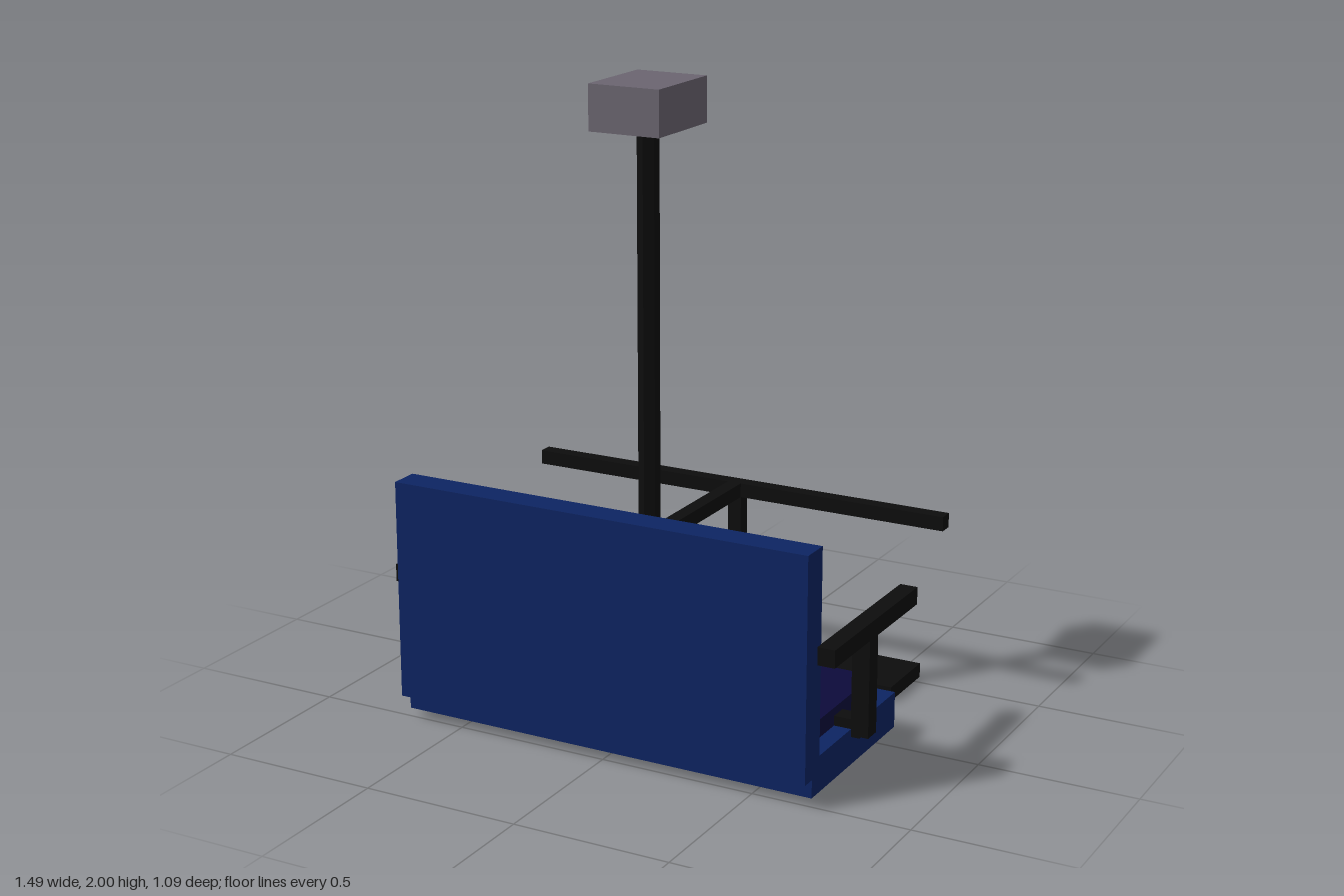
import * as THREE from 'three';

export function createModel() {
  const group = new THREE.Group();
  const material = (name, color) => {
    const m = new THREE.MeshStandardMaterial({ color });
    m.name = name;
    return m;
  };
  const blue = material('blue shell', 0x0d2462);
  const navy = material('navy cushion', 0x0d0b3b);
  const black = material('black metal', 0x0d0d0d);
  const grey = material('grey mount', 0x6b6570);

  // Box given by its extents along each axis
  const box = (name, mat, [x0, x1], [y0, y1], [z0, z1]) => {
    const mesh = new THREE.Mesh(new THREE.BoxGeometry(x1 - x0, y1 - y0, z1 - z0), mat);
    mesh.position.set((x0 + x1) / 2, (y0 + y1) / 2, (z0 + z1) / 2);
    mesh.name = name;
    group.add(mesh);
  };

  // Seat and backrest with inset cushions
  box('seatBase', blue, [-0.69, 0.69], [0.026, 0.14], [-0.082, 0.498]);
  box('backrest', blue, [-0.69, 0.69], [0.083, 0.776], [0.45, 0.543]);
  box('seatCushion', navy, [-0.635, 0.635], [0.13, 0.197], [-0.046, 0.452]);
  box('backCushion', navy, [-0.635, 0.635], [0.15, 0.72], [0.412, 0.46]);

  // Armrests on posts joined by a bar through the seat
  for (const [side, s] of [['left', 1], ['right', -1]]) {
    const x = s * 0.717;
    box(side + 'Armrest', black, [x - 0.028, x + 0.028], [0.427, 0.482], [-0.105, 0.474]);
    box(side + 'ArmPost', black, [x - 0.028, x + 0.028], [0.12, 0.44], [0.178, 0.235]);
  }
  box('seatBar', black, [-0.717, 0.717], [0.115, 0.171], [0.178, 0.235]);

  // Six-sided hanging pole and its mount
  const pole = new THREE.Mesh(new THREE.CylinderGeometry(0.033, 0.033, 1.75, 6), black);
  pole.geometry = pole.geometry.toNonIndexed();
  pole.geometry.computeVertexNormals();
  pole.position.set(0, 0.99, 0.208);
  pole.name = 'pole';
  group.add(pole);
  box('topMount', grey, [-0.115, 0.115], [1.862, 2], [0.064, 0.351]);

  // Safety bar with hanging footrest
  box('safetyArm', black, [-0.023, 0.023], [0.58, 0.626], [-0.37, 0.2]);
  box('safetyBar', black, [-0.721, 0.721], [0.58, 0.626], [-0.394, -0.348]);
  box('footrestPost', black, [-0.023, 0.023], [0.03, 0.6], [-0.393, -0.349]);
  box('footrest', black, [-0.576, 0.576], [0, 0.047], [-0.543, -0.315]);

  return group;
}
